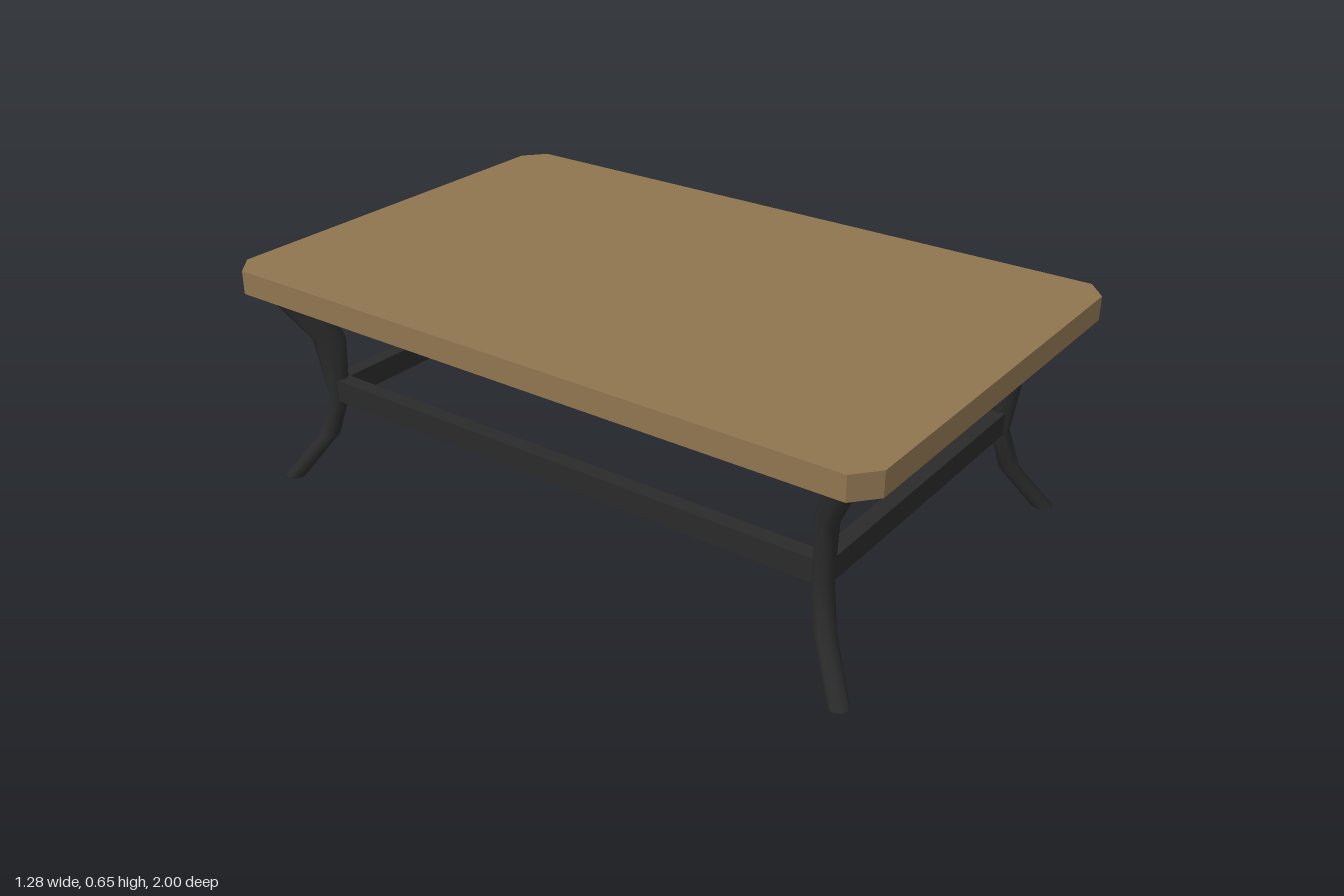
import * as THREE from 'three';

const wood = new THREE.MeshStandardMaterial({ color: 0x8f7550, side: THREE.DoubleSide });
wood.name = 'wood';
const iron = new THREE.MeshStandardMaterial({ color: 0x2a2a2a });
iron.name = 'blackIron';

// Chamfered outline of the table top, as [x, z] corners
const outline = [
  [0.575, 1], [0.64, 0.945], [0.64, -0.945], [0.575, -1],
  [-0.575, -1], [-0.64, -0.945], [-0.64, 0.945], [-0.575, 1],
];

function mesh(name, geometry, material) {
  const m = new THREE.Mesh(geometry, material);
  m.name = name;
  return m;
}

// Top board with a rim, open underneath
function tableTop() {
  const top = 0.655, bottom = 0.588;
  const group = new THREE.Group();
  group.name = 'tableTop';
  const board = new THREE.ShapeGeometry(new THREE.Shape(outline.map(([x, z]) => new THREE.Vector2(x, -z))));
  board.rotateX(-Math.PI / 2).translate(0, top, 0);
  group.add(mesh('board', board, wood));
  const pos = [];
  outline.forEach(([x1, z1], i) => {
    const [x2, z2] = outline[(i + 1) % outline.length];
    pos.push(x1, bottom, z1, x2, bottom, z2, x2, top, z2);
    pos.push(x1, bottom, z1, x2, top, z2, x1, top, z1);
  });
  const rim = new THREE.BufferGeometry();
  rim.setAttribute('position', new THREE.Float32BufferAttribute(pos, 3));
  rim.computeVertexNormals();
  group.add(mesh('rim', rim, wood));
  return group;
}

// Leg cross-sections: y, centre x, centre z, half depth along the diagonal, half width
const sections = [
  [0, 0.562, 0.914, 0.03, 0.028],
  [0.13, 0.492, 0.831, 0.029, 0.028],
  [0.25, 0.466, 0.803, 0.028, 0.028],
  [0.43, 0.474, 0.812, 0.046, 0.028],
  [0.625, 0.55, 0.9, 0.087, 0.03],
];

// Curved leg lofted through the sections, mirrored to a corner by sx and sz
function leg(name, sx, sz) {
  const sides = 8, pos = [], index = [];
  const face = (a, b, c) => (sx * sz > 0 ? index.push(a, b, c) : index.push(a, c, b));
  const ring = ([y, cx, cz, a, b]) => {
    for (let j = 0; j < sides; j++) {
      const t = (j / sides) * Math.PI * 2;
      const u = a * Math.cos(t), v = b * Math.sin(t);
      pos.push(sx * (cx + (u - v) * Math.SQRT1_2), y, sz * (cz + (u + v) * Math.SQRT1_2));
    }
  };
  sections.forEach(ring);
  for (let i = 0; i < sections.length - 1; i++) {
    for (let j = 0; j < sides; j++) {
      const a = i * sides + j, b = i * sides + (j + 1) % sides;
      face(a, a + sides, b);
      face(b, a + sides, b + sides);
    }
  }
  // Separate rings keep the end caps crisp
  const foot = pos.length / 3;
  ring(sections[0]);
  const head = pos.length / 3;
  ring(sections[sections.length - 1]);
  for (let j = 1; j < sides - 1; j++) {
    face(foot, foot + j, foot + j + 1);
    face(head, head + j + 1, head + j);
  }
  const g = new THREE.BufferGeometry();
  g.setAttribute('position', new THREE.Float32BufferAttribute(pos, 3));
  g.setIndex(index);
  g.computeVertexNormals();
  return mesh(name, g, iron);
}

function rail(name, w, d, x, z) {
  return mesh(name, new THREE.BoxGeometry(w, 0.065, d).translate(x, 0.278, z), iron);
}

export function createModel() {
  const table = new THREE.Group();
  table.name = 'table';
  table.add(tableTop());
  for (const [sx, side] of [[1, 'Left'], [-1, 'Right']]) {
    table.add(leg('front' + side + 'Leg', sx, 1), leg('back' + side + 'Leg', sx, -1));
  }
  // Stretchers between the legs; the left one sits outside its legs
  table.add(
    rail('frontRail', 0.93, 0.045, 0, 0.8),
    rail('backRail', 0.93, 0.045, 0, -0.8),
    rail('rightRail', 0.045, 1.6, -0.463, 0),
    rail('leftRail', 0.05, 1.61, 0.48, 0.008),
  );
  return table;
}
